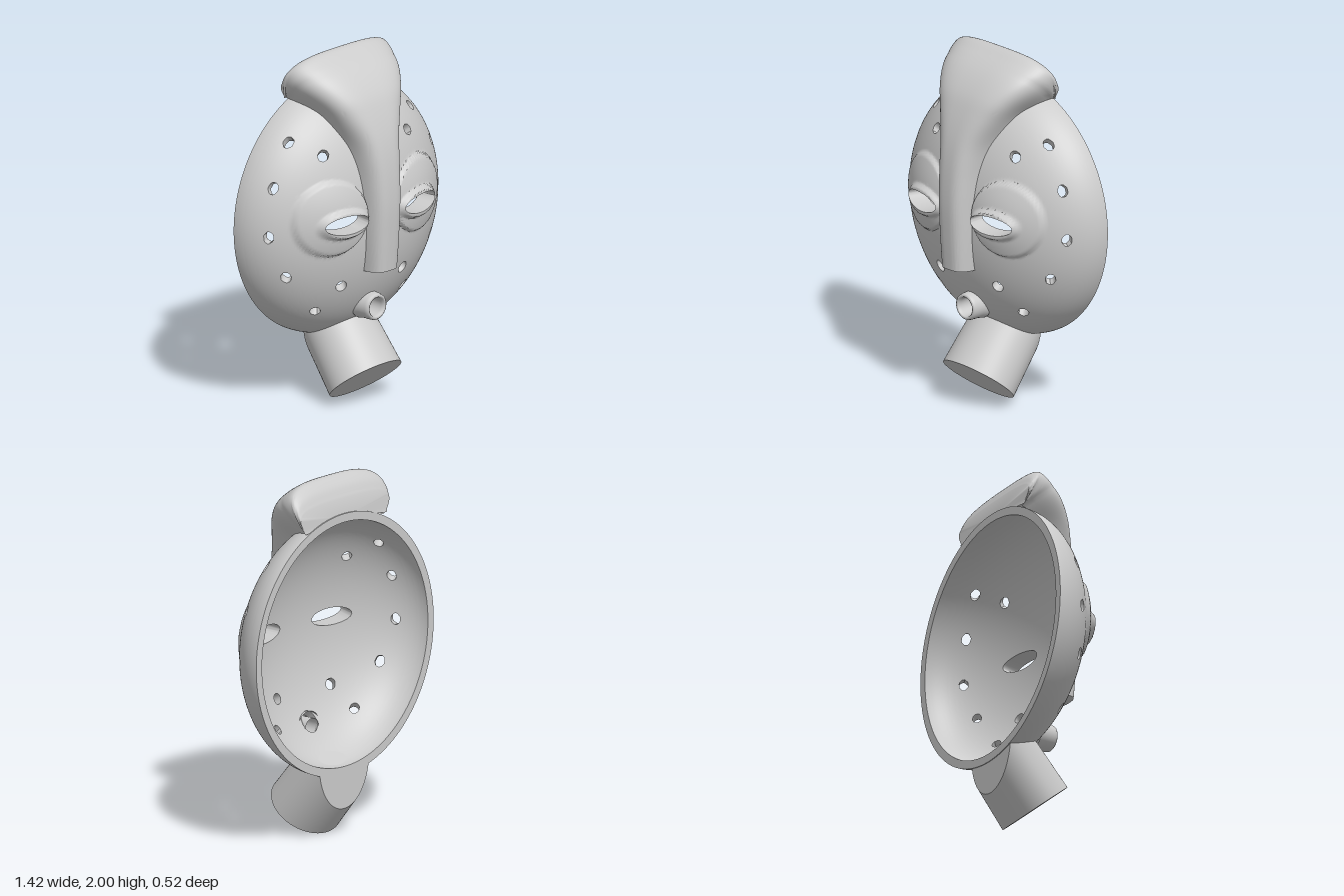
import * as THREE from 'three';
import { toCreasedNormals } from 'three/addons/utils/BufferGeometryUtils.js';

const CY = 1.08, RX = 0.71, RY = 0.73, DEPTH = 0.42, BACK = -0.26;
const { smoothstep, lerp } = THREE.MathUtils;
const material = new THREE.MeshStandardMaterial({ color: 0xcccccc, side: THREE.DoubleSide });

// Rise of the face dome, from 0 at the rim to 1 at the middle
const rise = (x, y) => Math.sqrt(Math.max(0, 1 - (x / RX) ** 2 - ((y - CY) / RY) ** 2));
const domeZ = (x, y) => BACK + DEPTH * rise(x, y);

function mesh(name, geometry) {
  const m = new THREE.Mesh(geometry, material);
  m.name = name;
  return m;
}

function surface(positions, index, crease) {
  const g = new THREE.BufferGeometry();
  g.setAttribute('position', new THREE.Float32BufferAttribute(positions, 3));
  g.setIndex(index);
  return toCreasedNormals(g, crease);
}

// Eye slits, mouth and mirrored round holes, foreshortened by the dome
function makeHoles() {
  const holes = [{ x: -0.005, y: 0.565, a: 0.058, b: 0.058, angle: 0 }];
  const spots = [[0.445, 1.565], [0.31, 1.49], [0.578, 1.34], [0.622, 1.07],
    [0.53, 0.83], [0.225, 0.735], [0.322, 0.588]];
  for (const s of [-1, 1]) {
    holes.push({ x: s * 0.27 - 0.01, y: 1.123, a: 0.135, b: 0.052, angle: 0 });
    for (const [px, y] of spots) {
      const x = s * px - 0.01;
      holes.push({ x, y, a: 0.036 * (0.1 + 0.9 * rise(x, y)), b: 0.035, angle: Math.atan2(y - CY, x) });
    }
  }
  return holes;
}

// Raised eye disc with a lid around the slit
function eyeRelief(x, y) {
  const ex = Math.abs(x + 0.01);
  const q = Math.hypot((ex - 0.315) / 0.22, (y - 1.145) / 0.215);
  const lid = Math.hypot((ex - 0.27) / 0.16, (y - 1.12) / 0.085);
  return 0.02 * (1 - smoothstep(q, 0.92, 1.0)) + 0.025 * Math.max(0, 1 - q * q)
    + 0.03 * (1 - smoothstep(lid, 0.8, 1.05));
}

// Hollow face: a polar grid whose points inside holes are pushed to the hole edge
function faceShell() {
  const M = 76, N = 190, holes = makeHoles();
  const front = [], back = [], owner = [];
  const id = (i, j) => (i ? 1 + (i - 1) * N + (j % N) : 0);
  for (let i = 0; i <= M; i++) {
    for (let j = 0; j < (i ? N : 1); j++) {
      const r = Math.sin((i / M) * Math.PI / 2), t = (j / N) * Math.PI * 2;
      let x = RX * r * Math.cos(t), y = CY + RY * r * Math.sin(t), inside = -1;
      holes.forEach((h, k) => {
        const dx = x - h.x, dy = y - h.y, c = Math.cos(h.angle), s = Math.sin(h.angle);
        const q = Math.max(1e-4, Math.hypot((dx * c + dy * s) / h.a, (dy * c - dx * s) / h.b));
        if (q < 1) { x = h.x + dx / q; y = h.y + dy / q; inside = k; }
      });
      owner.push(inside);
      front.push(x, y, domeZ(x, y) + eyeRelief(x, y));
      back.push(x * 0.935, CY + (y - CY) * 0.935, BACK + 0.375 * rise(x, y));
    }
  }
  const count = owner.length, tris = [], edges = new Set();
  const key = (a, b) => a * count + b;
  const add = (a, b, c) => {
    if (a === b || b === c || a === c) return;
    if (owner[a] >= 0 && owner[a] === owner[b] && owner[a] === owner[c]) return;
    tris.push([a, b, c]);
    edges.add(key(a, b)).add(key(b, c)).add(key(c, a));
  };
  for (let i = 0; i < M; i++) {
    for (let j = 0; j < N; j++) {
      add(id(i, j), id(i + 1, j), id(i + 1, j + 1));
      add(id(i, j), id(i + 1, j + 1), id(i, j + 1));
    }
  }
  // Front, back, and walls along every open edge
  const index = [];
  for (const t of tris) {
    const [a, b, c] = t;
    index.push(a, b, c, a + count, c + count, b + count);
    t.forEach((p, k) => {
      const q = t[(k + 1) % 3];
      if (!edges.has(key(q, p))) index.push(q, p, p + count, q, p + count, q + count);
    });
  }
  return surface(front.concat(back), index, 0.7);
}

// Nose flowing up into a flared crest: arched sections from the dome over a ridge
function noseCrest() {
  // ridge y, ridge z, ridge half width, base y, base half width
  const rows = [
    [0.81, 0.235, 0.09, 0.80, 0.092], [1.0, 0.248, 0.09, 1.0, 0.102], [1.2, 0.255, 0.095, 1.2, 0.11],
    [1.4, 0.242, 0.11, 1.39, 0.125], [1.55, 0.215, 0.14, 1.5, 0.148], [1.7, 0.165, 0.22, 1.6, 0.19],
    [1.8, 0.115, 0.3, 1.68, 0.23], [1.9, 0.03, 0.38, 1.73, 0.28], [1.965, -0.06, 0.42, 1.75, 0.31],
    [2.0, -0.14, 0.43, 1.75, 0.315], [1.96, -0.2, 0.43, 1.75, 0.315], [1.89, -0.24, 0.42, 1.75, 0.315]];
  const ridge = new THREE.CatmullRomCurve3(rows.map(r => new THREE.Vector3(r[0], r[1], r[2])));
  const base = new THREE.CatmullRomCurve3(rows.map(r => new THREE.Vector3(r[3], r[4], 0)));
  const V = 66, U = 40, n = 3.2, pos = [], index = [];
  for (let v = 0; v <= V; v++) {
    const p = ridge.getPoint(v / V), b = base.getPoint(v / V);
    const bz = Math.max(BACK + 0.005, domeZ(b.y, b.x) - 0.02);
    for (let u = 0; u <= U; u++) {
      const t = Math.PI * u / U, c = Math.cos(t);
      const d = Math.max(0, Math.sin(t)) ** (2 / n);
      const x = -Math.sign(c) * Math.abs(c) ** (2 / n) * lerp(b.y, p.z, d);
      pos.push(x - 0.015, lerp(b.x, p.x, d), lerp(bz, p.y, d));
    }
  }
  const W = U + 1;
  for (let v = 0; v < V; v++) {
    for (let u = 0; u < U; u++) {
      const a = v * W + u;
      index.push(a, a + 1, a + W + 1, a, a + W + 1, a + W);
    }
  }
  // Nose underside and crest back
  const c0 = pos.length / 3;
  pos.push(-0.015, 0.8, 0.1, -0.015, 1.79, BACK + 0.005);
  for (let u = 0; u < U; u++) {
    index.push(c0, u + 1, u, c0 + 1, V * W + u, V * W + u + 1);
  }
  return surface(pos, index, 0.8);
}

// Slanted neck, each line along it ending at the back plane or under the chin
function neck() {
  const g = new THREE.CylinderGeometry(1, 1, 1, 64, 1);
  const p = g.attributes.position;
  for (let i = 0; i < p.count; i++) {
    const a = p.getX(i), b = p.getZ(i), t = p.getY(i) + 0.5;
    if (t > 0.5 && Math.hypot(a, b) < 0.01) { p.setXYZ(i, 0, 0.385, -0.255); continue; }
    const y = 0.1325 + 0.128 * b, z = 0.025 + 0.15 * b;
    const s = t * Math.min((z + 0.255) / 0.64, (0.385 + 0.47 * (z + 0.255) - y) / 1.071);
    p.setXYZ(i, a * (0.226 - 0.06 * s), y + 0.77 * s, z - 0.64 * s);
  }
  return toCreasedNormals(g, 0.6);
}

// Short round mouth tube with a soft lip
function mouth() {
  const profile = [[0.052, -0.015], [0.05, 0.1], [0.055, 0.12], [0.063, 0.126], [0.072, 0.118],
    [0.076, 0.1], [0.078, 0.05], [0.086, 0.01]].map(([r, y]) => new THREE.Vector2(r, y));
  const g = new THREE.LatheGeometry(profile.reverse(), 36);
  g.rotateX(Math.PI / 2);
  g.translate(-0.005, 0.568, 0);
  return g;
}

export function createModel() {
  const group = new THREE.Group();
  group.name = 'mask';
  group.add(mesh('faceShell', faceShell()), mesh('noseCrest', noseCrest()),
    mesh('neck', neck()), mesh('mouth', mouth()));
  return group;
}
